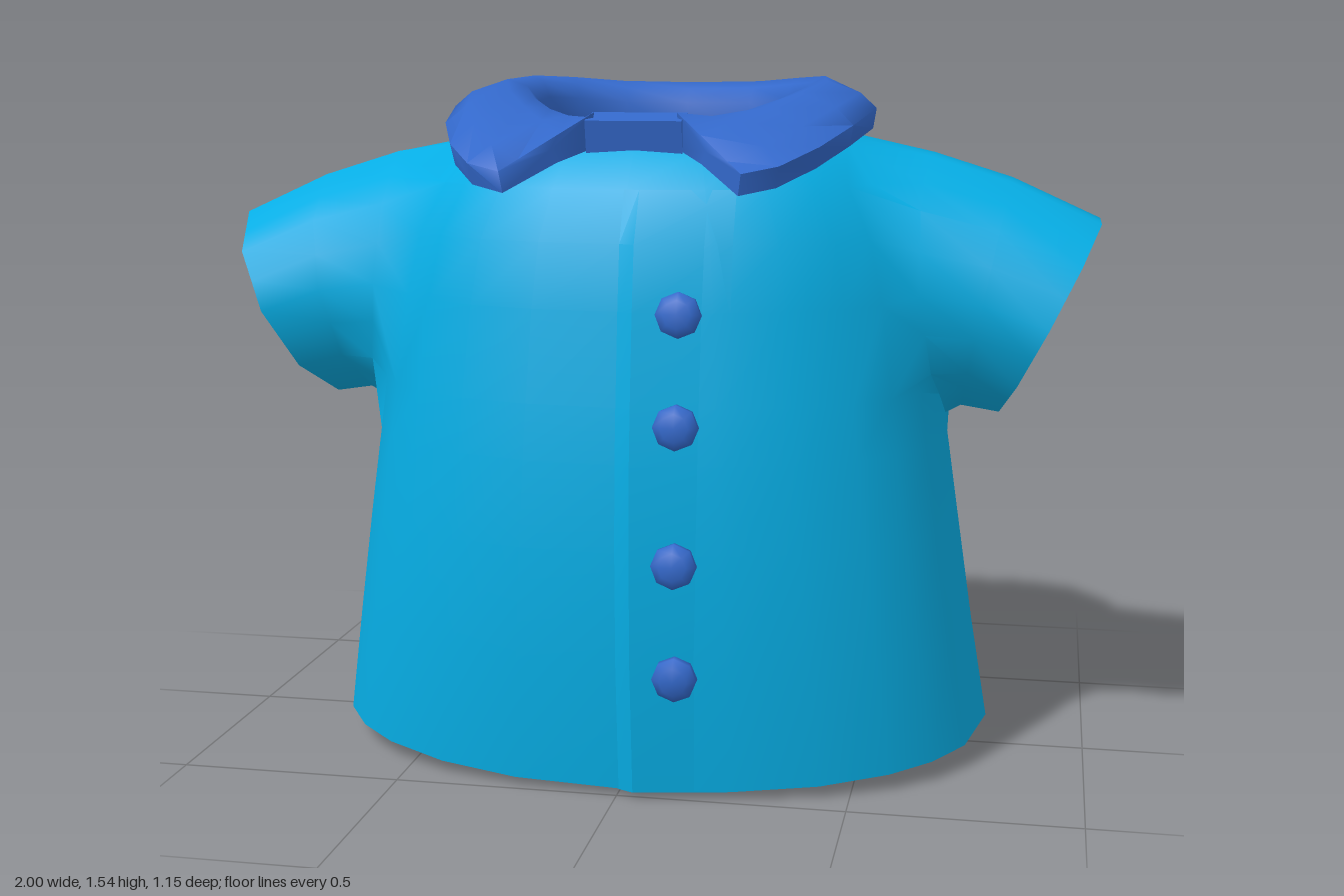
import * as THREE from 'three';
import { mergeGeometries, toCreasedNormals } from 'three/addons/utils/BufferGeometryUtils.js';

const fabric = new THREE.MeshStandardMaterial({ color: 0x06ade4, side: THREE.DoubleSide });
const trim = new THREE.MeshStandardMaterial({ color: 0x3368ca, side: THREE.DoubleSide });
fabric.name = 'skyBlueFabric';
trim.name = 'royalBlueTrim';

// Skins rows of [x, y, z] points; skip(row, column) leaves an opening.
function loft(rows, { closedU = true, closedV = false, skip = () => false } = {}) {
  const n = rows[0].length, index = [];
  const rowCount = closedV ? rows.length : rows.length - 1;
  for (let r = 0; r < rowCount; r++) {
    const r2 = (r + 1) % rows.length;
    for (let c = 0; c < (closedU ? n : n - 1); c++) {
      if (skip(r, c)) continue;
      const c2 = (c + 1) % n;
      const a = r * n + c, b = r * n + c2, d = r2 * n + c2, e = r2 * n + c;
      index.push(a, b, d, a, d, e);
    }
  }
  const g = new THREE.BufferGeometry();
  g.setAttribute('position', new THREE.Float32BufferAttribute(rows.flat(2), 3));
  g.setIndex(index);
  return g;
}

function addMesh(parent, name, geometry, material) {
  const m = new THREE.Mesh(geometry, material);
  m.name = name;
  parent.add(m);
  return m;
}

// Torso rings: height, half width, front z, back z, forward tilt
const RINGS = [
  [0.0, 0.765, 0.497, -0.575, 0],
  [0.3, 0.725, 0.526, -0.565, 0],
  [0.55, 0.688, 0.532, -0.553, 0],
  [0.74, 0.66, 0.526, -0.543, 0],
  [0.86, 0.645, 0.515, -0.536, 0],
  [1.06, 0.615, 0.492, -0.522, 0],
  [1.2, 0.58, 0.47, -0.503, 0],
  [1.31, 0.52, 0.42, -0.458, 0],
  [1.4, 0.455, 0.345, -0.4, 0.03],
  [1.43, 0.38, 0.31, -0.37, 0.06],
];

// Column angles from front to back, mirrored on the other side
const HALF = [0, 15, 30, 45, 57, 70, 90, 112, 126, 138, 152, 166, 180];
const ANGLES = [...HALF, ...HALF.slice(1, -1).reverse().map((a) => 360 - a)];
const SIDES = ANGLES.length;
const soft = (v) => Math.sign(v) * Math.abs(v) ** 0.85;

function torsoRing([y, hw, front, back, tilt], row, inset) {
  const mid = (front + back) / 2, depth = (front - back) / 2 - inset;
  return ANGLES.map((degrees) => {
    const t = THREE.MathUtils.degToRad(degrees);
    const sx = soft(Math.sin(t)), z = mid + depth * soft(Math.cos(t));
    const low = inset ? 0 : 0.015;
    const hem = row === 0 ? low + (0.055 - low) * sx * sx : 0;
    return [0.01 + (hw - inset) * sx, y + hem - tilt * z, z];
  });
}

// Armhole: a block of the torso grid without its corner cells
const ARM = { bottom: 3, top: 8, front: 4, back: 9 };

function inArmhole(row, col) {
  const c = Math.min(col, SIDES - 1 - col);
  if (row < ARM.bottom || row >= ARM.top || c < ARM.front || c >= ARM.back) return false;
  const endRow = row === ARM.bottom || row === ARM.top - 1;
  return !(endRow && (c === ARM.front || c === ARM.back - 1));
}

// Edge of the armhole, from top back over the front and round
function armholeEdge(grid, side) {
  const { bottom, top, front, back } = ARM;
  const at = (r, c) => grid[r][side > 0 ? c : SIDES - c];
  const edge = [];
  edge.push(at(top - 1, back - 1));
  for (let c = back - 1; c > front; c--) edge.push(at(top, c));
  edge.push(at(top - 1, front + 1));
  for (let r = top - 1; r > bottom; r--) edge.push(at(r, front));
  edge.push(at(bottom + 1, front + 1));
  for (let c = front + 1; c < back; c++) edge.push(at(bottom, c));
  edge.push(at(bottom + 1, back - 1));
  for (let r = bottom + 1; r < top; r++) edge.push(at(r, back));
  return edge;
}

// Unit decagon with edge midpoints, flat at the top
const corner = (i) => {
  const p = ((i - 1.5) / 10) * Math.PI * 2;
  return [Math.cos(p), Math.sin(p)];
};
const DECAGON = Array.from({ length: 10 }, (_, i) => {
  const [a, b] = [corner(i), corner(i + 1)];
  return [a, [(a[0] + b[0]) / 2, (a[1] + b[1]) / 2]];
}).flat();

// Sleeve sections: top x, y, bottom x, y, half depth, pull-in of front and back
const SLEEVE = [
  [0.62, 1.37, 0.67, 0.785, 0.318, 0.03],
  [0.8, 1.313, 0.7, 0.803, 0.305, 0],
  [1.0, 1.222, 0.785, 0.79, 0.3, 0],
];

function sleeveRing([tx, ty, bx, by, hz, pull], side, scale) {
  return DECAGON.map(([cos, sin]) => {
    const c = (cos * scale * 1.04) / 2;
    const x = (tx + bx) / 2 + (tx - bx) * c - pull * sin * sin;
    return [side * x, (ty + by) / 2 + (ty - by) * c, -0.07 + sin * hz * scale];
  });
}

// Torso and sleeves in one skin, with an outer and an inner layer
function body() {
  const outer = RINGS.map((r, i) => torsoRing(r, i, 0));
  const inner = RINGS.map((r, i) => torsoRing(r, i, i < 8 ? 0.075 : 0.055));
  const last = 2 * RINGS.length - 2;
  const torso = loft([...outer, ...inner.slice().reverse()], {
    closedV: true,
    skip: (r, c) => inArmhole(r < RINGS.length ? r : last - r, c),
  });
  const sleeves = [1, -1].map((side) => {
    const rows = [
      armholeEdge(outer, side),
      ...SLEEVE.map((s) => sleeveRing(s, side, 1)),
      ...[0.52, 0.68, 0.8].map((k, i) => sleeveRing(SLEEVE[2 - i], side, k)),
      armholeEdge(inner, side),
    ];
    return loft(side > 0 ? rows : rows.map((row) => row.slice().reverse()));
  });
  return toCreasedNormals(mergeGeometries([torso, ...sleeves]), 0.95);
}

// Collar stations from back to front: inner x, z, outer x, z, ridge y, outer y, roll
const COLLAR = [
  [0, -0.31, 0, -0.46, 1.522, 1.455, 1],
  [0.15, -0.3, 0.2, -0.455, 1.525, 1.455, 1],
  [0.25, -0.22, 0.33, -0.4, 1.535, 1.465, 1],
  [0.3, -0.12, 0.43, -0.25, 1.54, 1.477, 1],
  [0.3, -0.02, 0.488, 0.03, 1.533, 1.472, 1],
  [0.25, 0.08, 0.455, 0.22, 1.508, 1.44, 1],
  [0.19, 0.16, 0.4, 0.37, 1.485, 1.4, 0.8],
  [0.13, 0.24, 0.33, 0.48, 1.475, 1.365, 0.4],
  [0.09, 0.33, 0.255, 0.508, 1.468, 1.35, 0],
];

function collarSection([ix, iz, ox, oz, ridge, edge, roll], side) {
  const at = (t, y) => [0.01 + side * (ix + (ox - ix) * t), y, iz + (oz - iz) * t];
  const fall = ridge - edge, crown = ridge - (1 - roll) * 0.38 * fall;
  return [
    at(0, ridge - 0.05 * roll),
    at(0.15, ridge - 0.015 * roll - (1 - roll) * 0.15 * fall),
    at(0.38, crown),
    at(0.8, edge + fall * (0.2 + 0.35 * roll)),
    at(1, edge),
    at(0.96, edge - 0.045),
    at(0.4, crown - 0.06 - 0.04 * roll),
    at(0.06, ridge - 0.08 - 0.05 * roll),
  ];
}

function collar() {
  const left = COLLAR.map((s) => collarSection(s, 1)).reverse();
  const right = COLLAR.slice(1).map((s) => collarSection(s, -1));
  // Close both ends at their centres
  const cap = (row) => {
    const centre = [0, 1, 2].map((k) => row.reduce((s, p) => s + p[k] / row.length, 0));
    return row.map(() => centre);
  };
  const rows = [cap(left[0]), ...left, ...right, cap(right[right.length - 1])];
  return toCreasedNormals(loft(rows), 1.2);
}

// Overlapping front edge, raised beside the centre line and fading out
function placket() {
  const rows = RINGS.slice(0, 8).map(([y, , z], i) => {
    const lift = i === 7 ? 0.006 : 0.016;
    const foot = i === 0 ? 0.014 : y;
    return [[0.004, foot, z], [0.038, foot, z + lift], [0.24, foot, z - 0.025]];
  });
  return toCreasedNormals(loft(rows, { closedU: false }), 0.35);
}

export function createModel() {
  const shirt = new THREE.Group();
  shirt.name = 'shirt';
  addMesh(shirt, 'torsoAndSleeves', body(), fabric);
  addMesh(shirt, 'placket', placket(), fabric);
  addMesh(shirt, 'collar', collar(), trim);

  // Band joining the collar at the throat
  const band = addMesh(shirt, 'collarBand', new THREE.BoxGeometry(0.21, 0.075, 0.08), trim);
  band.position.set(0.01, 1.422, 0.312);
  band.rotation.x = 0.2;

  // Buttons: height, z, lean
  const buttonShape = new THREE.SphereGeometry(0.051, 8, 5).rotateX(Math.PI / 2).scale(1, 1, 0.55);
  [[1.057, 0.5, -0.15], [0.825, 0.53, -0.08], [0.533, 0.55, -0.1], [0.284, 0.54, 0.05]].forEach(
    ([y, z, lean], i) => {
      const b = addMesh(shirt, `button${i + 1}`, buttonShape, trim);
      b.position.set(0.135, y, z);
      b.rotation.x = lean;
    },
  );
  return shirt;
}
